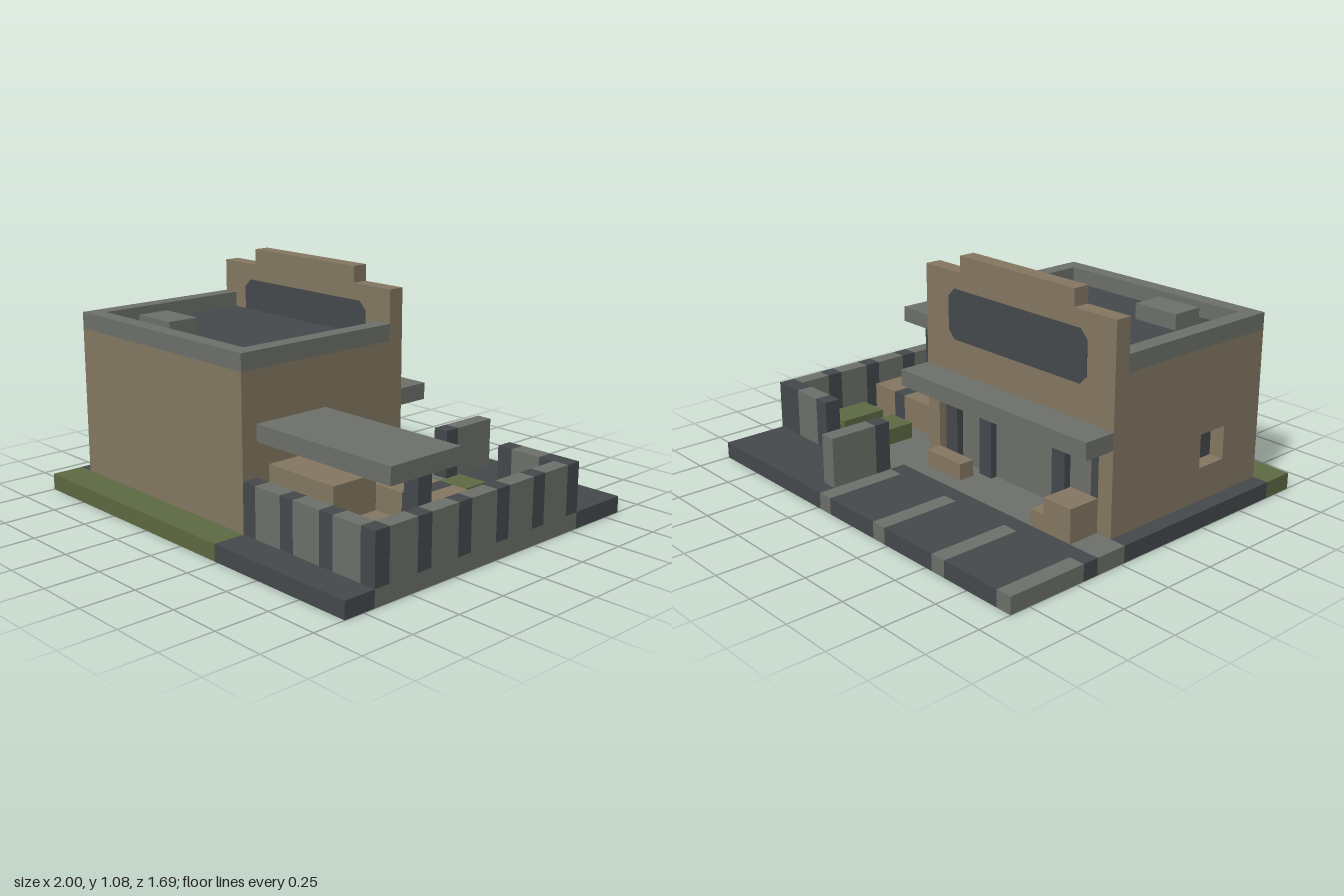
import * as THREE from 'three';

export function createModel() {
  const mat = (name, color) => new THREE.MeshStandardMaterial({ name, color });
  const tan = mat('tan', 0x857963);
  const grey = mat('grey', 0x6e716b);
  const dark = mat('dark', 0x454a4d);
  const green = mat('green', 0x5e6b43);

  // Everything is laid out on a grid of whole units, scaled down at the end
  const model = new THREE.Group();
  model.name = 'shopWithPatio';
  const grid = new THREE.Group();
  grid.name = 'unitGrid';
  grid.scale.setScalar(1 / 13);
  model.add(grid);

  const add = (name, geo, m, x = 0, y = 0, z = 0) => {
    const mesh = new THREE.Mesh(geo, m);
    mesh.name = name;
    mesh.position.set(x, y, z);
    grid.add(mesh);
    return mesh;
  };
  const box = (name, m, x0, x1, y0, y1, z0, z1) =>
    add(name, new THREE.BoxGeometry(x1 - x0, y1 - y0, z1 - z0), m,
      (x0 + x1) / 2, (y0 + y1) / 2, (z0 + z1) / 2);

  // Ground slab
  box('lawn', green, -13, 3, 0, 1, 9, 11);
  box('frontPavement', dark, 3, 13, 0, 1, 9, 11);
  box('sidePath', dark, -13, -12, 0, 1, -3, 9);
  box('buildingFloor', grey, -12, 3, 0, 1, -3, 9);
  box('patioFloor', grey, 3, 13, 0, 1, -7, 9);
  box('sidewalk', grey, -13, 3, 0, 1, -5, -3);
  box('kerb', dark, -13, 3, 0, 1, -6, -5);
  box('sideRoad', dark, 3, 13, 0, 1, -11, -7);
  box('kerbEnd', grey, 3, 3.001, 0, 1, -7, -5);

  // Parking bays with painted stripes
  for (const x of [-13, -8, -3, 2]) {
    box('parkingStripe', grey, x, x + 1, 0, 1, -11, -6);
    if (x < 2) box('parkingBay', dark, x + 1, x + 5, 0, 1, -11, -6);
  }

  // Building body, with a window recess in the side wall
  box('buildingBody', tan, -11, 3, 1, 10, -2, 9);
  const rect = (P, x0, x1, y0, y1) => {
    const p = new P();
    p.moveTo(x0, y0); p.lineTo(x1, y0); p.lineTo(x1, y1); p.lineTo(x0, y1); p.closePath();
    return p;
  };
  const side = rect(THREE.Shape, -9, 2, 1, 10);
  side.holes.push(rect(THREE.Path, -6, -4, 3, 5));
  const sideWall = add('sideWall', new THREE.ExtrudeGeometry(side, { depth: 1, bevelEnabled: false }), tan, -12);
  sideWall.rotation.y = Math.PI / 2;
  box('sideWindow', dark, -11.08, -11, 3, 5, 4, 6);

  // Flat roof, parapet and roof unit
  box('roof', dark, -11, 2, 10, 10.06, -2, 8);
  box('parapetFront', grey, -12, 3, 10, 11, 8, 9);
  box('parapetSide', grey, -12, -11, 10, 11, -2, 8);
  box('parapetSide', grey, 2, 3, 10, 11, -2, 8);
  box('roofUnit', grey, -9, -6, 10, 11, 5, 7);

  // Stepped sign wall with end piers
  box('signWall', tan, -12, 3, 6, 13, -3, -2);
  box('signWallTop', tan, -9, 0, 13, 14, -3, -2);
  for (const x of [-12, 2]) box('pier', tan, x, x + 1, 1, 6, -3, -2);
  const sign = new THREE.Shape([
    [-9.5, 9], [0.5, 9], [1, 9.5], [1, 11.5], [0.5, 12], [-9.5, 12], [-10, 11.5], [-10, 9.5],
  ].map(([x, y]) => new THREE.Vector2(x, y)));
  add('signPanel', new THREE.ExtrudeGeometry(sign, { depth: 1.08, bevelEnabled: false }), dark, 0, 0, -3.04);

  // Recessed shopfront under the awning
  box('shopfront', grey, -11, 2, 1, 6, -2.06, -2);
  for (const x of [-11, -8, -2, 1]) box('shopfrontFrame', dark, x, x + 1, 1, 6, -2.5, -2.06);
  box('awning', grey, -12, 3, 6, 7, -5, -3);

  // Sidewalk furniture
  box('bench', tan, -1, 2, 1, 2, -4, -3);
  box('crateTall', tan, -11, -9, 1, 3, -5, -3);
  box('crateLow', tan, -9, -8, 1, 2, -5, -3);

  // Patio fence: one dark block in every three
  for (let i = 0; i < 16; i++) {
    const z = -7 + i;
    box('sideFence', i % 3 === 0 ? dark : grey, 12, 13, 1, 4, z, z + 1);
  }
  for (let i = 0; i < 9; i++) {
    box('frontFence', i % 3 === 0 ? dark : grey, 3 + i, 4 + i, 1, 4, 8, 9);
  }
  for (let x = 8; x < 12; x++) {
    box('backFence', x === 8 || x === 11 ? dark : grey, x, x + 1, 1, 4, -7, -6);
  }
  box('gatePost', dark, 3, 4, 1, 4, -7, -6);
  box('gateWall', grey, 3, 4, 1, 4, -10, -7);

  // Patio canopy and counter
  box('canopy', grey, 3, 13, 6, 7, 3, 8);
  for (const x of [3, 7, 11]) box('canopyPost', dark, x, x + 1, 1, 6, 4, 5);
  box('counter', tan, 4, 9, 1, 5, 5, 8);
  box('counterLow', tan, 9, 11, 1, 3, 5, 8);

  // Patio table with a dark runner, and green seats
  box('table', tan, 5, 8, 1, 3, -1, 2);
  box('tableRunner', dark, 8, 9, 1, 3, -1, 2);
  box('table', tan, 9, 11, 1, 3, -1, 2);
  for (const x of [6, 9]) box('seat', green, x, x + 2, 1, 2, -5, -2);

  return model;
}
